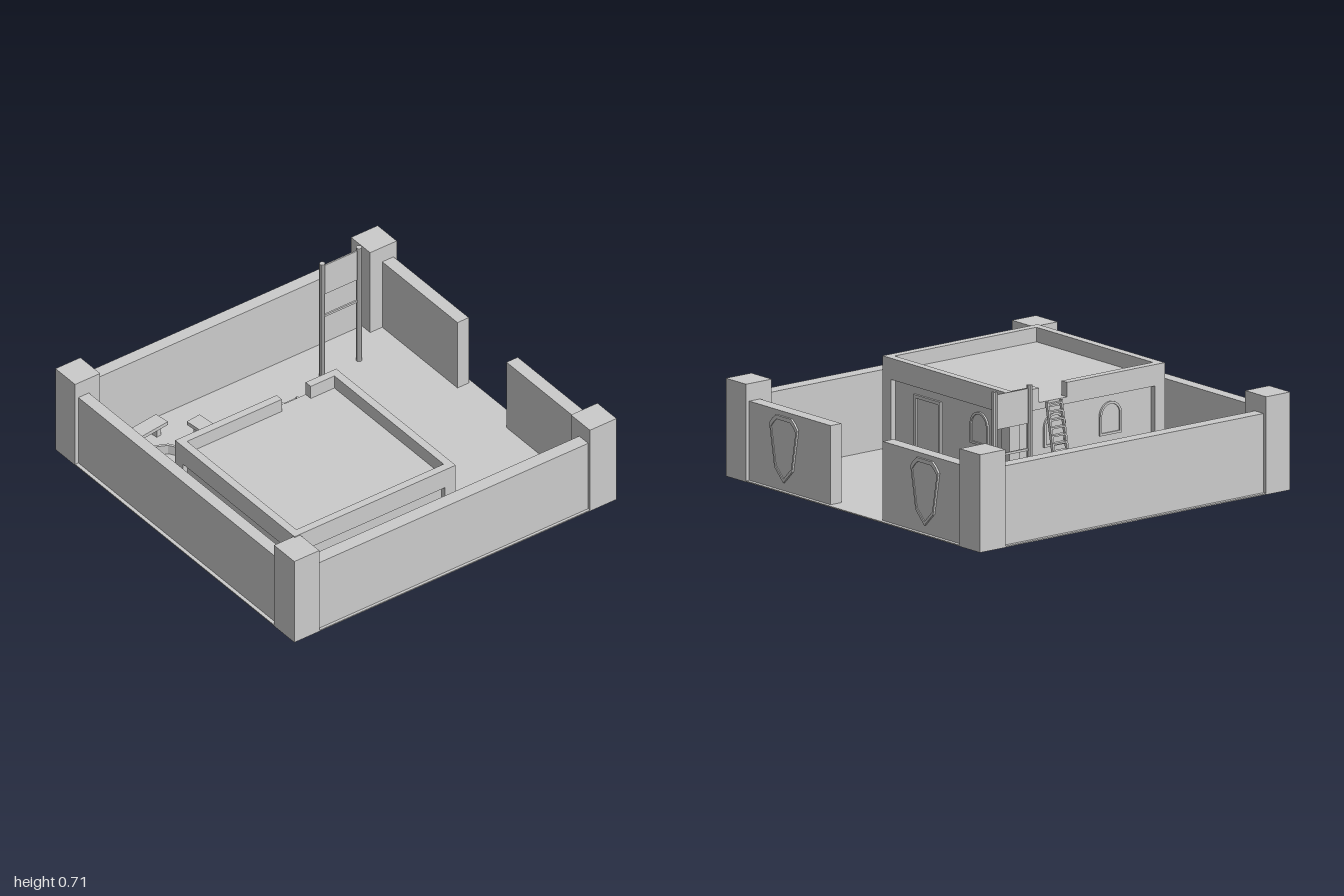
import * as THREE from 'three';

const mat = new THREE.MeshStandardMaterial({ color: 0xcccccc, flatShading: true });

function add(parent, name, geo, x = 0, y = 0, z = 0) {
  const m = new THREE.Mesh(geo, mat);
  m.name = name;
  m.position.set(x, y, z);
  parent.add(m);
  return m;
}

// Box given by its extents
function block(parent, name, x0, x1, y0, y1, z0, z1) {
  return add(parent, name, new THREE.BoxGeometry(x1 - x0, y1 - y0, z1 - z0),
    (x0 + x1) / 2, (y0 + y1) / 2, (z0 + z1) / 2);
}

function extrude(shape, depth) {
  return new THREE.ExtrudeGeometry(shape, { depth, bevelEnabled: false, curveSegments: 8 });
}

function subgroup(parent, name, x = 0, y = 0, z = 0, ry = 0) {
  const g = new THREE.Group();
  g.name = name;
  g.position.set(x, y, z);
  g.rotation.y = ry;
  parent.add(g);
  return g;
}

// Round-topped outline standing on y = 0
function arch(w, h, Type = THREE.Shape) {
  const s = new Type();
  s.moveTo(-w / 2, 0);
  s.lineTo(w / 2, 0);
  s.lineTo(w / 2, h - w / 2);
  s.absarc(0, h - w / 2, w / 2, 0, Math.PI, false);
  s.lineTo(-w / 2, 0);
  return s;
}

function archWindow(parent, x, y, z, ry) {
  const g = subgroup(parent, 'window', x, y, z, ry);
  const s = arch(0.14, 0.17);
  const hole = arch(0.116, 0.146, THREE.Path);
  s.holes.push(new THREE.Path(hole.getPoints(8).map(p => p.add(new THREE.Vector2(0, 0.012)))));
  add(g, 'windowFrame', extrude(s, 0.01));
  add(g, 'windowPane', extrude(arch(0.13, 0.16), 0.003), 0, 0.005, 0);
}

// Shield outline: clipped top corners, tapering sides, pointed foot
function shieldPoints(k) {
  const half = [[0, -0.17], [0.07, -0.1], [0.11, 0.12], [0.085, 0.15], [0.06, 0.17]];
  const pts = half.concat(half.slice(1).reverse().map(([x, y]) => [-x, y]));
  return pts.map(([x, y]) => new THREE.Vector2(x * k, y * k));
}

function shield(parent, x) {
  const g = subgroup(parent, 'shield', x, 0.22, -0.98, Math.PI);
  const rim = new THREE.Shape(shieldPoints(1));
  rim.holes.push(new THREE.Path(shieldPoints(0.88)));
  add(g, 'shieldRim', extrude(rim, 0.011));
  add(g, 'shieldFace', extrude(new THREE.Shape(shieldPoints(0.92)), 0.006));
}

function bench(parent, x, z, ry) {
  const g = subgroup(parent, 'bench', x, 0, z, ry);
  block(g, 'benchSeat', -0.17, 0.17, 0.06, 0.08, -0.043, 0.043);
  for (const s of [-1, 1])
    block(g, 'benchLeg', s * 0.12 - 0.014, s * 0.12 + 0.014, 0.002, 0.06, -0.03, 0.03);
}

export function createModel() {
  const root = new THREE.Group();
  root.name = 'walledCourtyard';

  block(root, 'ground', -1, 1, 0.002, 0.008, -1, 1);

  // Outer walls with a gateway at the back
  const H = 0.415;
  const walls = subgroup(root, 'outerWalls');
  block(walls, 'frontWall', -0.9, 0.9, 0.003, H, 0.915, 0.98);
  block(walls, 'rightWall', -0.98, -0.91, 0.003, H, -0.9, 0.9);
  block(walls, 'leftWall', 0.91, 0.985, 0.003, H, -0.9, 0.9);
  block(walls, 'backWallRight', -0.9, -0.21, 0.003, H, -0.98, -0.91);
  block(walls, 'backWallLeft', 0.2, 0.9, 0.003, H, -0.98, -0.91);
  for (const s of [-1, 1]) {
    const [x0, x1] = s < 0 ? [-1, -0.84] : [0.84, 1];
    block(walls, 'backPillar', x0, x1, 0.001, 0.505, -1, -0.835);
    const [f0, f1] = s < 0 ? [-1, -0.835] : [0.83, 1];
    block(walls, 'frontPillar', f0, f1, 0.001, 0.505, 0.845, 1);
  }
  shield(walls, -0.55);
  shield(walls, 0.56);

  // House: recessed walls, corner posts, overhanging parapet and flat roof
  const house = subgroup(root, 'house');
  const [X0, X1, Z0, Z1] = [-0.16, 0.84, -0.12, 0.88];
  block(house, 'houseWalls', X0 + 0.03, X1 - 0.03, 0.004, 0.41, Z0 + 0.03, Z1 - 0.03);
  block(house, 'roof', X0, X1, 0.4, 0.435, Z0, Z1);
  for (const x of [X0, X1 - 0.065])
    for (const z of [Z0, Z1 - 0.065])
      block(house, 'cornerPost', x, x + 0.065, 0.001, 0.4, z, z + 0.065);
  const P = 0.043, T = 0.51;
  block(house, 'parapetBack', X0, X1, 0.435, T, Z0, Z0 + P);
  block(house, 'parapetFront', X0, X1, 0.435, T, Z1 - P, Z1);
  block(house, 'parapetLeft', X1 - P, X1, 0.435, T, Z0 + P, Z1 - P);
  block(house, 'parapetRight', X0, X0 + P, 0.435, T, Z0 + P, 0.07);
  block(house, 'parapetRight', X0, X0 + P, 0.435, T, 0.25, Z1 - P);

  // Door and arched windows
  const zb = Z0 + 0.03, xr = X0 + 0.03;
  const door = subgroup(house, 'door');
  block(door, 'doorPanel', 0.43, 0.6, 0.008, 0.335, zb - 0.004, zb);
  block(door, 'doorLintel', 0.41, 0.62, 0.335, 0.352, zb - 0.012, zb);
  for (const x of [0.41, 0.603])
    block(door, 'doorJamb', x, x + 0.017, 0.008, 0.335, zb - 0.012, zb);
  archWindow(house, 0.11, 0.19, zb, Math.PI);
  for (const z of [0.19, 0.55]) archWindow(house, xr, 0.19, z, -Math.PI / 2);

  // Steep stair up to the gap in the parapet
  const stair = subgroup(root, 'roofStair');
  const run = 0.085, rise = 0.43, steps = 11;
  for (const z of [0.115, 0.205]) {
    const rail = add(stair, 'stringer',
      new THREE.BoxGeometry(0.018, Math.hypot(run, rise), 0.01), -0.208, rise / 2 + 0.003, z);
    rail.rotation.z = -Math.atan2(run, rise);
  }
  for (let i = 0; i < steps; i++) {
    const t = (i + 0.7) / steps;
    add(stair, 'tread', new THREE.BoxGeometry(0.024, 0.009, 0.09), -0.25 + run * t, rise * t, 0.16);
  }

  // Tall sign frame: two round posts, a hanging panel and a lower bar
  const frame = subgroup(root, 'signFrame', -0.69, 0, -0.54);
  for (const s of [-1, 1])
    add(frame, 'framePost', new THREE.CylinderGeometry(0.015, 0.015, 0.71, 10), 0, 0.356, s * 0.114);
  block(frame, 'framePanel', -0.004, 0.004, 0.515, 0.695, -0.114, 0.114);
  block(frame, 'frameBar', -0.005, 0.005, 0.375, 0.387, -0.114, 0.114);

  // Fire ring with benches around it
  const ring = [[0.106, 0], [0.121, 0], [0.121, 0.06], [0.106, 0.06], [0.106, 0]]
    .map(([r, y]) => new THREE.Vector2(r, y));
  add(root, 'fireRing', new THREE.LatheGeometry(ring, 11), -0.55, 0, 0.645);
  bench(root, -0.548, 0.338, 0.1);
  bench(root, -0.79, 0.648, Math.PI / 2 + 0.12);
  bench(root, -0.269, 0.648, Math.PI / 2 - 0.1);

  return root;
}
